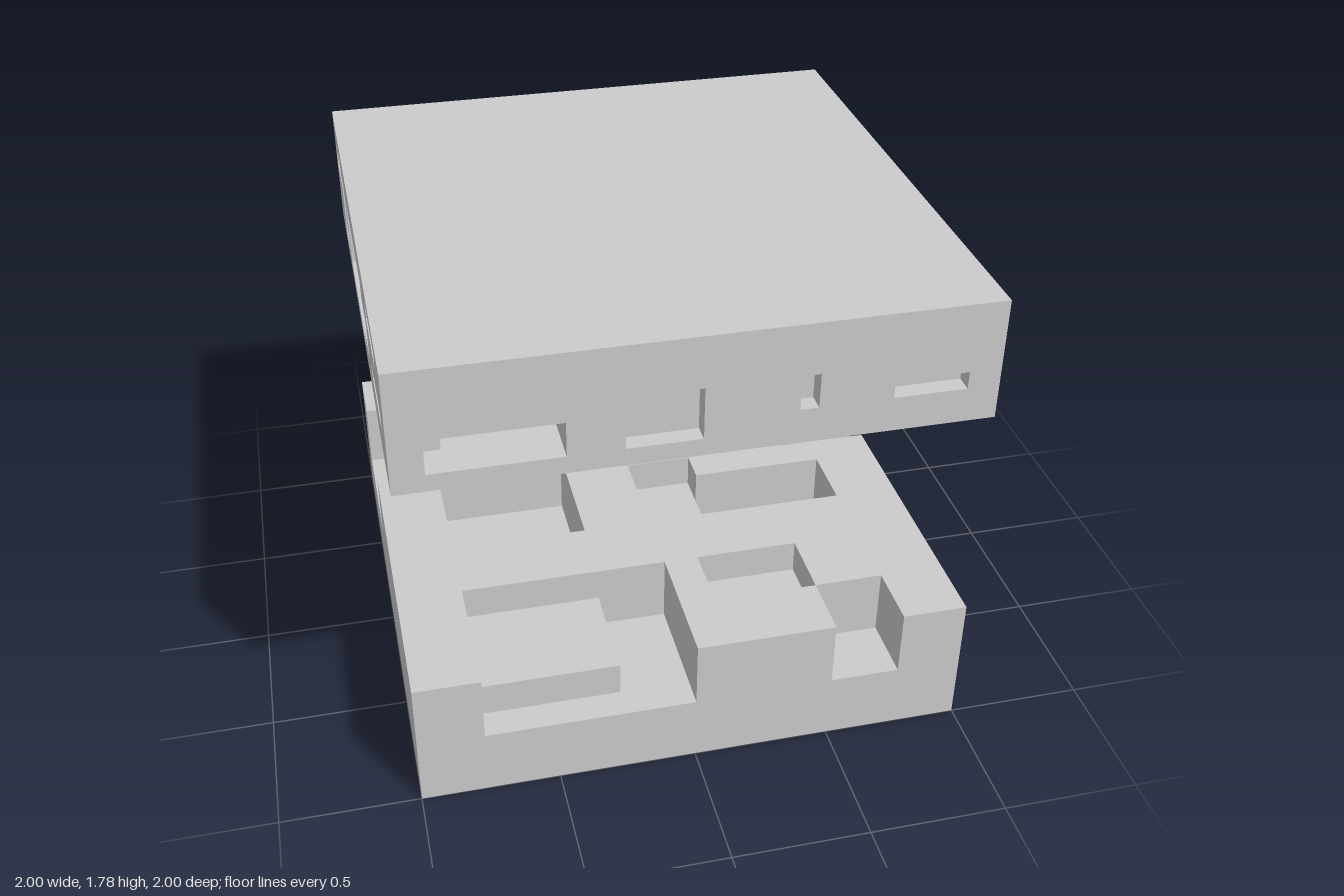
import * as THREE from 'three';

const E = 15.75;      // half width of both slabs in grid units
const U = 1 / E;      // size of one grid unit

// Solid box with box-shaped cuts; every box is [x0, x1, y0, y1, z0, z1] in grid units.
function carve(box, cuts) {
  const lines = [0, 2, 4].map(a => {
    const all = [box, ...cuts].flatMap(b => [b[a], b[a + 1]]);
    return [...new Set(all)].sort((p, q) => p - q);
  });
  const size = lines.map(l => l.length - 1);
  const solid = c => {
    if (c.some((v, a) => v < 0 || v >= size[a])) return false;
    const m = c.map((v, a) => (lines[a][v] + lines[a][v + 1]) / 2);
    return !cuts.some(b => m.every((v, a) => v > b[2 * a] && v < b[2 * a + 1]));
  };
  const pos = [];
  for (let i = 0; i < size[0]; i++) for (let j = 0; j < size[1]; j++) for (let k = 0; k < size[2]; k++) {
    const c = [i, j, k];
    if (!solid(c)) continue;
    for (let a = 0; a < 3; a++) for (const side of [0, 1]) {
      const next = [...c];
      next[a] += side ? 1 : -1;
      if (solid(next)) continue;
      // exposed cell wall, wound outward
      const b = (a + 1) % 3, d = (a + 2) % 3;
      const corner = (s, t) => {
        const p = [0, 0, 0];
        p[a] = lines[a][c[a] + side] * U;
        p[b] = lines[b][c[b] + s] * U;
        p[d] = lines[d][c[d] + t] * U;
        return p;
      };
      const q = [corner(0, 0), corner(1, 0), corner(1, 1), corner(0, 1)];
      if (!side) q.reverse();
      for (const n of [0, 1, 2, 0, 2, 3]) pos.push(...q[n]);
    }
  }
  const g = new THREE.BufferGeometry();
  g.setAttribute('position', new THREE.Float32BufferAttribute(pos, 3));
  g.computeVertexNormals();
  return g;
}

export function createModel() {
  const group = new THREE.Group();
  const material = new THREE.MeshStandardMaterial({ color: 0xcccccc, flatShading: true });
  const add = (name, box, cuts) => {
    const mesh = new THREE.Mesh(carve(box, cuts), material);
    mesh.name = name;
    group.add(mesh);
  };

  // Lower slab: pockets open to the top, y from floor to rim
  const pocket = (x0, x1, z0, z1, floor, top = 8) => [x0, x1, floor, top, z0, z1];
  add('lowerSlab', [-E, E, 0, 8, -E, E], [
    // front left bay around a raised ledge
    pocket(-12, 0, 8, E, 6),
    pocket(-4, 0, 8, E, 4, 6),
    pocket(-12, -4, 14, E, 4, 6),
    // front right notch and the pocket meeting its corner
    pocket(8, 12, 12, E, 4),
    pocket(2, 8, 8, 12, 6),
    // side notches
    pocket(10, E, -4, -2, 6),
    pocket(-E, -12, -12, -4, 4),
    // middle pockets
    pocket(0, 4, -2, 4, 6),
    pocket(4, 12, 0, 4, 4),
    pocket(-12, -4, -4, 4, 4),
    // long rear trench and the corner pocket beside it
    pocket(-8, 8, -12, -8, 4),
    pocket(10, 14, -14, -8, 6),
    pocket(8, 10, -14, -10, 6),
  ]);

  // Upper slab: shallow recesses below, in front and on the -x side
  const under = (x0, x1, z0, z1, depth = 1) => [x0, x1, 21, 21 + depth, z0, z1];
  const front = (x0, x1, y0, y1, depth = 1) => [x0, x1, y0, y1, E - depth, E];
  const side = (z0, z1, y0, y1, depth = 1) => [-E, depth - E, y0, y1, z0, z1];
  add('upperSlab', [-E, E, 21, 28, -E, E], [
    under(7, 13, -1, 3), under(7, 10, -1, 1, 2),
    under(7, 8, -5, -3),
    under(-6, 1, -12, -6),
    under(4, 8, 9, 11),
    under(-2, 4, 2, 6),
    under(-12, -7, -3, -1), under(-10, -9, -3, -2, 2),
    // stepped front opening
    front(-14, -7, 22, 24, 2),
    front(-13, -7, 22, 23, 3),
    front(-12, -7, 22, 23, 4),
    front(-11, -7, 22, 23, 5),
    front(-4, 0, 22, 25),
    front(5, 6, 23, 25),
    front(10, 14, 23, 24),
    // side slots
    side(7, 12, 26, 27),
    side(8, 13, 23, 24),
    side(-7, 3, 22, 26), side(-7, 3, 25, 26, 2),
    side(3, 6, 23, 25),
    side(-15, -11, 25, 26),
    side(-11, -8, 22, 26),
    side(-12, -11, 26, 27),
  ]);
  return group;
}
